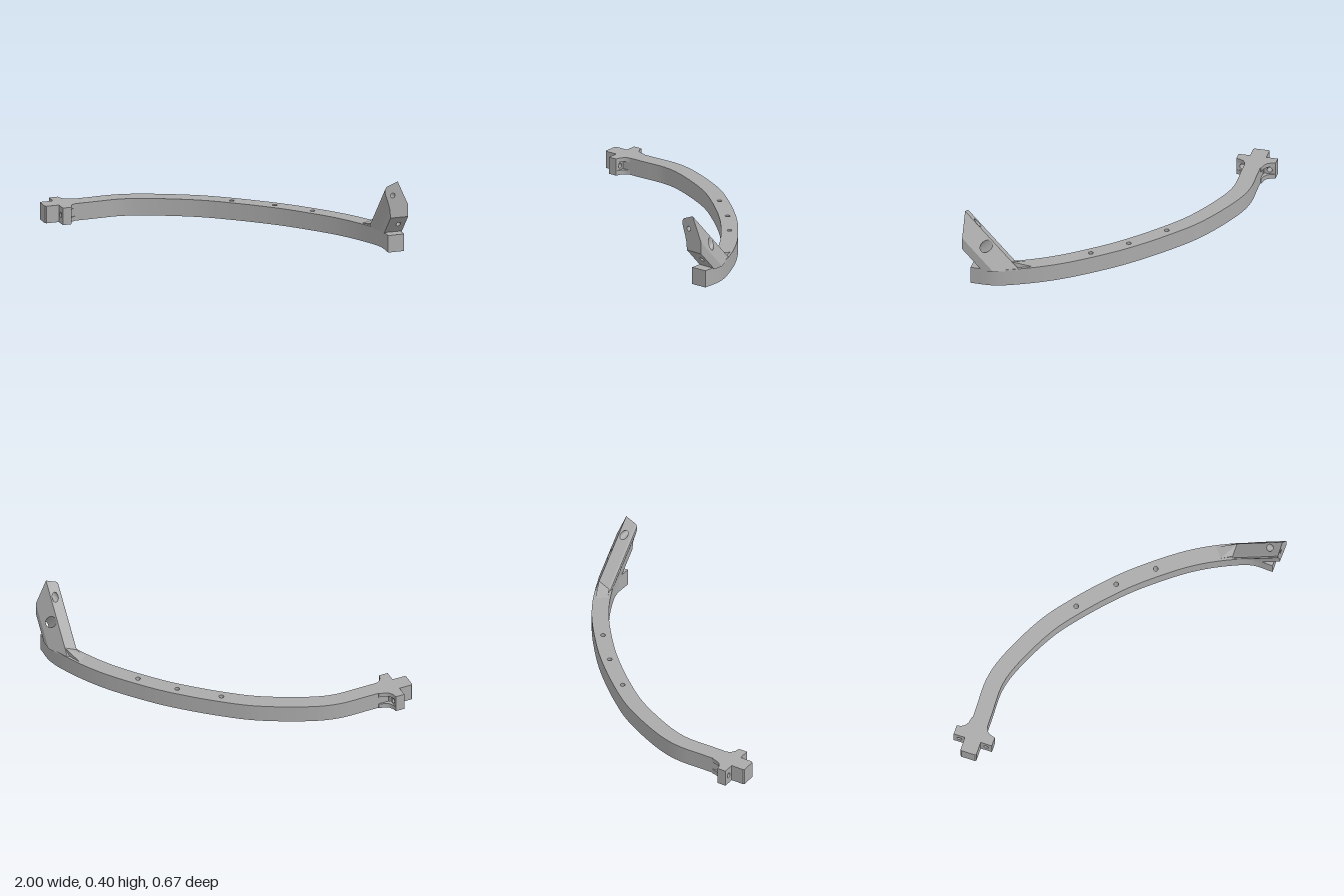
import * as THREE from 'three';
import { toCreasedNormals } from 'three/addons/utils/BufferGeometryUtils.js';
import { ConvexGeometry } from 'three/addons/geometries/ConvexGeometry.js';

const H = 0.093; // bar height
const V2 = (x, y) => new THREE.Vector2(x, y);
const circle = (cx, cy, r, n = 24) => Array.from({ length: n }, (_, i) => {
  const a = (i / n) * Math.PI * 2;
  return V2(cx + r * Math.cos(a), cy + r * Math.sin(a));
});

// Upright plate from a plan outline in (x, z)
function plan(points, y0, y1, holes = []) {
  const flip = (p) => V2(p.x, -p.y);
  const shape = new THREE.Shape(points.map(flip));
  holes.forEach((h) => shape.holes.push(new THREE.Path(h.map(flip))));
  const g = new THREE.ExtrudeGeometry(shape, { depth: y1 - y0, bevelEnabled: false });
  g.rotateX(-Math.PI / 2);
  g.translate(0, y0, 0);
  return toCreasedNormals(g, 0.5);
}

export function createModel() {
  const model = new THREE.Group();
  const grey = new THREE.MeshStandardMaterial({ color: 0xaaaaaa, side: THREE.DoubleSide });
  const add = (parent, name, geometry) => {
    const m = new THREE.Mesh(geometry, grey);
    m.name = name;
    parent.add(m);
    return m;
  };

  // Curved bar with vertical holes
  const centre = new THREE.CatmullRomCurve3([
    [-0.912, 0.255], [-0.80, 0.116], [-0.70, -0.005], [-0.60, -0.08], [-0.33, -0.205],
    [-0.14, -0.252], [0.10, -0.287], [0.26, -0.295], [0.51, -0.285], [0.70, -0.248],
    [0.84, -0.198], [0.932, -0.122],
  ].map(([x, z]) => new THREE.Vector3(x, 0, z)));
  const outer = [], inner = [];
  for (let i = 0; i <= 90; i++) {
    const p = centre.getPoint(i / 90), t = centre.getTangent(i / 90);
    outer.push(V2(p.x + t.z * 0.045, p.z - t.x * 0.045));
    inner.unshift(V2(p.x - t.z * 0.045, p.z + t.x * 0.045));
  }
  const barHoles = [[-0.14, -0.25], [0.10, -0.288], [0.325, -0.294], [0.76, -0.228]];
  add(model, 'curvedBar', plan([...outer, ...inner], 0, H, barHoles.map(([x, z]) => circle(x, z, 0.013))));

  // Cross-shaped end with two drilled ears
  const head = new THREE.Group();
  head.name = 'crossEnd';
  head.position.set(-0.917, 0, 0.251);
  head.rotation.y = -0.694;
  model.add(head);
  add(head, 'tip', plan([V2(-0.044, -0.06), V2(0.044, -0.06), V2(0.044, 0.07), V2(0.038, 0.076),
    V2(-0.038, 0.076), V2(-0.044, 0.07)], 0, H));
  for (const side of [-1, 1]) {
    const ear = [[0.03, 0], [0.106, 0], [0.106, -0.049], [0.082, -0.055], [0.064, -0.066],
      [0.052, -0.085], [0.045, -0.12], [0.03, -0.12]].map(([u, v]) => V2(side * u, v));
    add(head, 'earBottom', plan(ear, 0, 0.025));
    add(head, 'earTop', plan(ear, 0.07, H));
    const s = new THREE.Shape([V2(0.03, 0.025), V2(0.106, 0.025), V2(0.106, 0.07), V2(0.03, 0.07)]
      .map((p) => V2(p.x * side, p.y)));
    s.holes.push(new THREE.Path(circle(side * 0.074, 0.0475, 0.014)));
    const g = new THREE.ExtrudeGeometry(s, { depth: 0.049, bevelEnabled: false });
    g.translate(0, 0, -0.049);
    add(head, 'earMiddle', toCreasedNormals(g, 0.5));
  }

  // Leaning arm: a profile (s, y) swept back along t while dropping
  const arm = new THREE.Group();
  arm.name = 'leaningArm';
  model.add(arm);
  const DROP = 1.05, FLOOR = 0.086;
  const at = (s, y, t) => new THREE.Vector3(0.934 + 0.66 * s - 0.75 * t, y, -0.06 - 0.75 * s - 0.66 * t);
  const profile = [[0, 0.2], [0.097, 0.2], [0.097, 0.265], [0.039, 0.397], [-0.022, 0.372],
    [-0.03, 0.36], [-0.03, 0.335], [-0.024, 0.315], [-0.014, 0.285], [-0.005, 0.25]].map(([s, y]) => V2(s, y));
  const heightOn = (i, s) => {
    const a = profile[i], b = profile[i + 1];
    return a.y + (b.y - a.y) * (s - a.x) / (b.x - a.x);
  };

  // Hole rims: one level through the end face, one square to the slope
  const levelRim = circle(0.012, 0.322, 0.013);
  const levelExit = circle(0.012, 0.322, 0.019).map((p) => V2(p.x, (heightOn(3, p.x) - p.y) / DROP));
  const slopeRim = circle(0.06, 0.05, 0.012);
  const slopeExit = circle(0.062, 0.05, 0.02).map((p) => V2(p.x, p.y + 0.5 * (heightOn(2, p.x) - 0.2)));
  const panelHoles = { 0: slopeRim, 2: slopeExit, 3: levelExit };

  // End face
  const face = new THREE.Shape(profile);
  face.holes.push(new THREE.Path(levelRim));
  const mapped = (shape, fn) => {
    const g = new THREE.ShapeGeometry(shape), pos = g.attributes.position;
    for (let i = 0; i < pos.count; i++) {
      const p = fn(pos.getX(i), pos.getY(i));
      pos.setXYZ(i, p.x, p.y, p.z);
    }
    g.computeVertexNormals();
    return g;
  };
  add(arm, 'armEndFace', mapped(face, (s, y) => at(s, y, 0)));

  // Flat sides, each running down to the bar
  profile.forEach((a, i) => {
    const b = profile[(i + 1) % profile.length], len = a.distanceTo(b);
    const reach = (p) => (p.y - FLOOR) / DROP;
    const shape = new THREE.Shape([V2(0, 0), V2(len, 0), V2(len, reach(b)), V2(0, reach(a))]);
    if (panelHoles[i]) {
      shape.holes.push(new THREE.Path(panelHoles[i].map((p) => V2(len * (p.x - a.x) / (b.x - a.x), p.y))));
    }
    add(arm, 'armSide', mapped(shape, (c, t) => {
      const p = a.clone().lerp(b, c / len);
      return at(p.x, p.y - DROP * t, t);
    }));
  });

  // Hole walls
  const tunnel = (name, from, to) => {
    const n = from.length, verts = [], index = [];
    for (let i = 0; i < n; i++) {
      verts.push(...from[i].toArray(), ...to[i].toArray());
      const a = 2 * i, b = 2 * ((i + 1) % n);
      index.push(a, a + 1, b, b, a + 1, b + 1);
    }
    const g = new THREE.BufferGeometry();
    g.setAttribute('position', new THREE.Float32BufferAttribute(verts, 3));
    g.setIndex(index);
    g.computeVertexNormals();
    add(arm, name, g);
  };
  const onPanel = (i) => (p) => at(p.x, heightOn(i, p.x) - DROP * p.y, p.y);
  tunnel('levelHole', levelRim.map((p) => at(p.x, p.y, 0)), levelExit.map(onPanel(3)));
  tunnel('slopeHole', slopeRim.map(onPanel(0)), slopeExit.map(onPanel(2)));

  // Run-out blending the arm into the bar
  const V3 = (x, y, z) => new THREE.Vector3(x, y, z);
  const ridge = at(0.039, 0.397 - DROP * 0.255, 0.255), edge = at(-0.024, 0.37 - DROP * 0.255, 0.255);
  add(arm, 'armRunOut', new ConvexGeometry([ridge, edge, V3(ridge.x, 0.085, ridge.z), V3(edge.x, 0.085, edge.z),
    V3(0.665, H, -0.292), V3(0.665, H, -0.225), V3(0.67, 0.085, -0.29), V3(0.67, 0.085, -0.225)]));

  return model;
}
